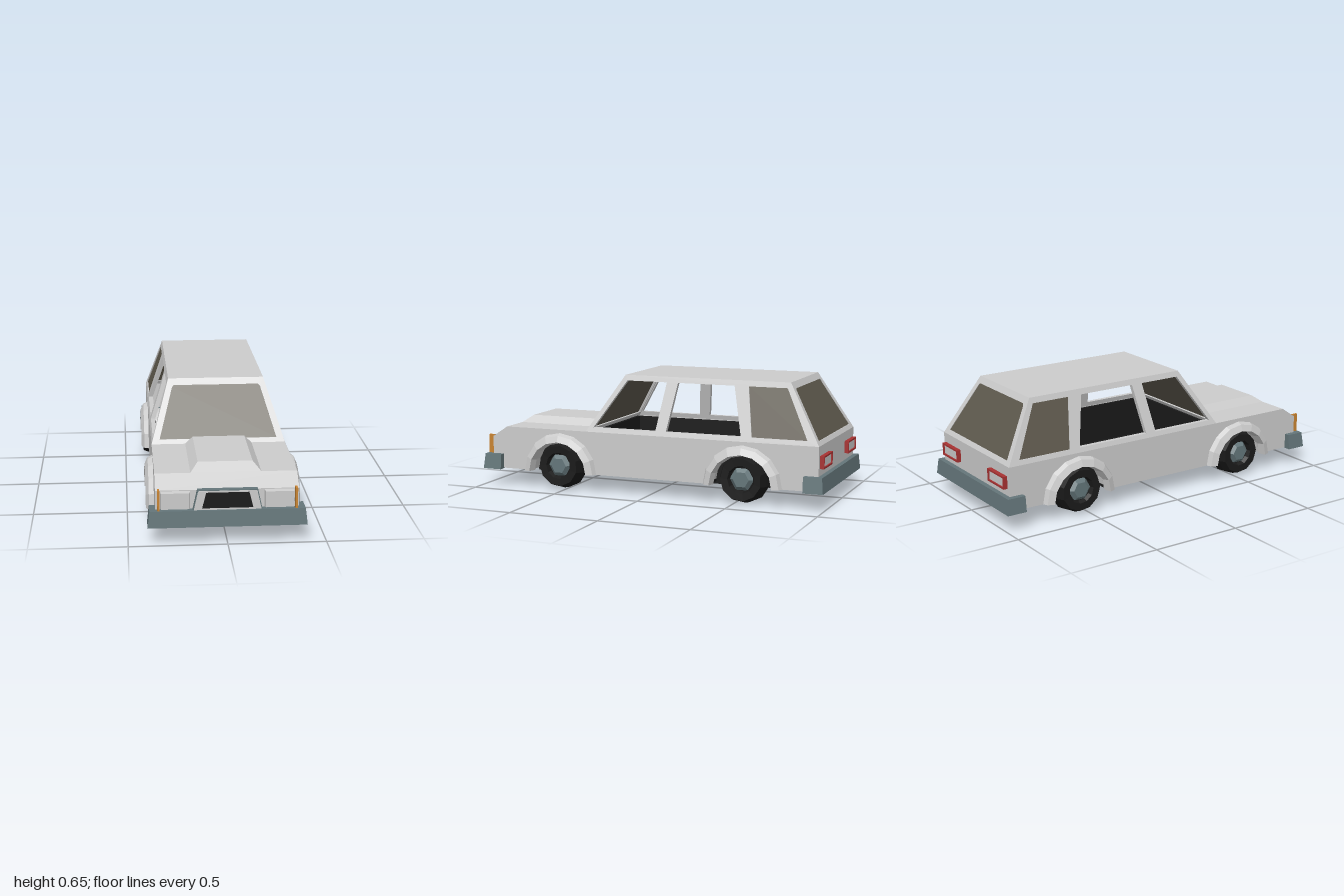
import * as THREE from 'three';

const mat = (name, color, side = THREE.FrontSide) => {
  const m = new THREE.MeshStandardMaterial({ color, side, flatShading: true });
  m.name = name;
  return m;
};

const FLOOR = 0.1, BELT = 0.34, ROOF = 0.655;
const AXLES = [0.53, -0.547];
const up = (y) => (y - BELT) / (ROOF - BELT);

export function createModel() {
  const paint = mat('body paint', 0xcccccc, THREE.DoubleSide);
  const black = mat('black rubber', 0x1a1a1a, THREE.DoubleSide);
  const trim = mat('bumper grey', 0x64767a);
  const glass = mat('tinted glass', 0x5e594d);
  const amber = mat('amber lamp', 0xc98432);
  const red = mat('red lamp', 0xa83232);

  const car = new THREE.Group();
  car.name = 'estateCar';

  const add = (name, geo, material, parent = car) => {
    const m = new THREE.Mesh(geo, material);
    m.name = name;
    parent.add(m);
    return m;
  };
  // box given by its minimum and maximum on each axis
  const box = (name, material, [x0, x1], [y0, y1], [z0, z1], parent = car) => {
    const g = new THREE.BoxGeometry(x1 - x0, y1 - y0, z1 - z0);
    g.translate((x0 + x1) / 2, (y0 + y1) / 2, (z0 + z1) / 2);
    return add(name, g, material, parent);
  };
  const poly = (pts) => new THREE.Shape(pts.map((p) => new THREE.Vector2(...p)));
  const extrude = (shape, depth) =>
    new THREE.ExtrudeGeometry(shape, { depth, bevelEnabled: false, curveSegments: 8 });
  const warp = (geo, rule) => {
    const p = geo.attributes.position, v = new THREE.Vector3();
    for (let i = 0; i < p.count; i++) {
      rule(v.fromBufferAttribute(p, i));
      p.setXYZ(i, v.x, v.y, v.z);
    }
    geo.computeVertexNormals();
    return geo;
  };
  // profile in (z, y), outer face at x = outer, leaning inwards above the belt line
  const sidePanel = (shape, depth, outer, lean) =>
    warp(extrude(shape, depth).rotateY(-Math.PI / 2), (v) => {
      v.x += outer - (lean ? 0.1 * up(v.y) : 0);
    });
  // profile in (x, y), outer face at z = base, leaning back by rake
  const endPanel = (shape, depth, base, rake) =>
    warp(extrude(shape, depth), (v) => { v.z += base - depth - rake * up(v.y); });

  // left and right halves, the second mirrored
  for (const s of [1, -1]) {
    const half = new THREE.Group();
    half.name = s > 0 ? 'leftSide' : 'rightSide';
    half.scale.x = s;
    car.add(half);

    // lower side with two wheel openings
    const lower = new THREE.Shape();
    lower.moveTo(-0.965, FLOOR);
    for (const z of [...AXLES].reverse()) {
      lower.lineTo(z - 0.17, FLOOR);
      lower.absarc(z, FLOOR, 0.17, Math.PI, 0, true);
    }
    lower.lineTo(0.955, FLOOR);
    lower.lineTo(0.955, 0.28);
    lower.lineTo(0.865, BELT);
    lower.lineTo(-0.965, BELT);
    add('lowerSide', sidePanel(lower, 0.02, 0.362, false), paint, half);

    // pillars and window frames
    const quarter = [[-0.595, 0.365], [-0.9, 0.365], [-0.765, 0.625], [-0.55, 0.625]];
    const frame = poly([[0.37, BELT], [0.17, ROOF], [-0.78, ROOF], [-0.965, BELT]]);
    frame.holes.push(
      poly([[0.325, 0.365], [0.155, 0.625], [-0.08, 0.625], [-0.045, 0.365]]),
      poly([[-0.107, 0.365], [-0.145, 0.625], [-0.47, 0.625], [-0.535, 0.365]]),
      poly(quarter));
    add('windowFrame', sidePanel(frame, 0.025, 0.362, true), paint, half);
    add('quarterWindow', sidePanel(poly(quarter), 0.006, 0.357, true), glass, half);

    // dark door lining and sill
    box('doorLining', black, [0.325, 0.34], [0.1, 0.335], [-0.36, 0.35], half);
    box('sill', black, [0.27, 0.35], [0.1, 0.115], [-0.37, 0.35], half);

    for (const z of AXLES) {
      // wheel well
      const liner = new THREE.CylinderGeometry(0.18, 0.18, 0.08, 10, 1, true, Math.PI, Math.PI);
      add('wheelWell', liner.rotateZ(-Math.PI / 2).translate(0.31, FLOOR, z), paint, half);
      const wall = new THREE.CircleGeometry(0.18, 10, 0, Math.PI);
      add('wheelWellWall', wall.rotateY(Math.PI / 2).translate(0.271, FLOOR, z), black, half);

      // flared arch
      const flare = [[0.225, 0.355], [0.21, 0.388], [0.175, 0.404], [0.163, 0.36]];
      const arch = new THREE.LatheGeometry(
        flare.map((p) => new THREE.Vector2(...p)), 8, Math.PI, Math.PI);
      add('wheelArch', arch.rotateZ(-Math.PI / 2).translate(0, FLOOR, z), paint, half);

      // tyre tapers outwards; hub sits in the middle
      const wheel = new THREE.Group();
      wheel.name = 'wheel';
      wheel.position.set(0, 0.14, z);
      half.add(wheel);
      const tread = [[0, 0.295], [0.138, 0.295], [0.131, 0.345], [0.115, 0.39],
        [0.075, 0.388], [0.065, 0.365], [0, 0.365]];
      const tyre = new THREE.LatheGeometry(tread.map((p) => new THREE.Vector2(...p)), 11);
      add('tyre', tyre.rotateZ(-Math.PI / 2), black, wheel);
      const hub = new THREE.CylinderGeometry(0.045, 0.068, 0.02, 6);
      add('hub', hub.rotateZ(-Math.PI / 2).translate(0.375, 0, 0), trim, wheel);
    }

    // lamps
    const lamp = new THREE.BoxGeometry(0.155, 0.095, 0.04);
    warp(lamp, (v) => { if (v.z > 0) { v.x *= 0.92; v.y *= 0.88; } });
    add('headlight', lamp.translate(0.262, 0.23, 0.962), paint, half);
    box('indicator', amber, [0.341, 0.352], [0.18, 0.288], [0.95, 0.988], half);
    const x0 = 0.17, x1 = 0.34, y0 = 0.22, y1 = 0.288, t = 0.009;
    const rim = poly([[x0, y0], [x1, y0], [x1, y1], [x0, y1]]);
    rim.holes.push(poly([[x0 + t, y0 + t], [x0 + t, y1 - t], [x1 - t, y1 - t], [x1 - t, y0 + t]]));
    add('tailLightRim', extrude(rim, 0.025).translate(0, 0, -0.988), red, half);
    box('tailLightLens', paint, [x0 + t, x1 - t], [y0 + t, y1 - t], [-0.98, -0.96], half);
  }

  // bonnet and nose, one bent sheet
  const nose = poly([[0.36, BELT], [0.865, BELT], [0.955, 0.28], [0.955, 0.11],
    [0.93, 0.11], [0.93, 0.265], [0.855, 0.315], [0.36, 0.315]]);
  add('bonnet', sidePanel(nose, 0.72, 0.36, false), paint);

  // raised centre of the bonnet
  const bulge = new THREE.BoxGeometry(0.36, 0.04, 0.495).translate(0, 0.36, 0.6175);
  warp(bulge, (v) => {
    if (v.y > 0.36) { v.x *= 0.14 / 0.18; if (v.z > 0.6) v.z = 0.81; }
  });
  add('bonnetBulge', bulge, paint);

  // roof and tail
  box('roof', paint, [-0.262, 0.262], [0.63, ROOF], [-0.78, 0.17]);
  box('tailPanel', paint, [-0.36, 0.36], [FLOOR, BELT], [-0.965, -0.94]);

  // windscreen and rear window, each a sheet with a hole and a glass plate
  const surround = [[-0.362, BELT], [0.362, BELT], [0.262, ROOF], [-0.262, ROOF]];
  const pane = [[-0.318, 0.362], [0.318, 0.362], [0.313, 0.378], [0.242, 0.612],
    [0.232, 0.622], [-0.232, 0.622], [-0.242, 0.612], [-0.313, 0.378]];
  for (const [name, base, rake, turn] of [['windscreen', 0.37, 0.2, 0], ['rearWindow', 0.965, 0.185, Math.PI]]) {
    const sheet = poly(surround);
    sheet.holes.push(poly(pane));
    add(name + 'Frame', endPanel(sheet, 0.025, base, rake).rotateY(turn), paint);
    add(name, endPanel(poly(pane), 0.006, base - 0.004, rake).rotateY(turn), glass);
  }

  // floor, bulkhead and underside
  box('floor', black, [-0.272, 0.272], [0.1, 0.12], [-0.94, 0.93]);
  box('bulkhead', black, [-0.34, 0.34], [0.1, 0.335], [0.34, 0.36]);
  box('chassis', black, [-0.2, 0.2], [0.07, 0.101], [-0.73, 0.75]);

  // bumpers, a little narrower at the top
  for (const [name, z] of [['frontBumper', 0.945], ['rearBumper', -0.945]]) {
    const g = new THREE.BoxGeometry(0.804, 0.085, 0.11);
    warp(g, (v) => {
      if (v.y > 0) { v.x *= 0.975; if (v.z * z > 0) v.z *= 0.85; }
    });
    add(name, g.translate(0, 0.1395, z), trim);
  }

  // grille: surround, pale face and dark opening
  const trapezoid = (top, bottom, y1, y0) => poly([[-bottom, y0], [bottom, y0], [top, y1], [-top, y1]]);
  add('grilleSurround', extrude(trapezoid(0.152, 0.175, 0.285, 0.18), 0.045).translate(0, 0, 0.935), trim);
  add('grilleFace', extrude(trapezoid(0.148, 0.17, 0.281, 0.182), 0.003).translate(0, 0, 0.98), paint);
  add('grilleOpening', extrude(trapezoid(0.108, 0.128, 0.273, 0.192), 0.003).translate(0, 0, 0.983), black);

  return car;
}
